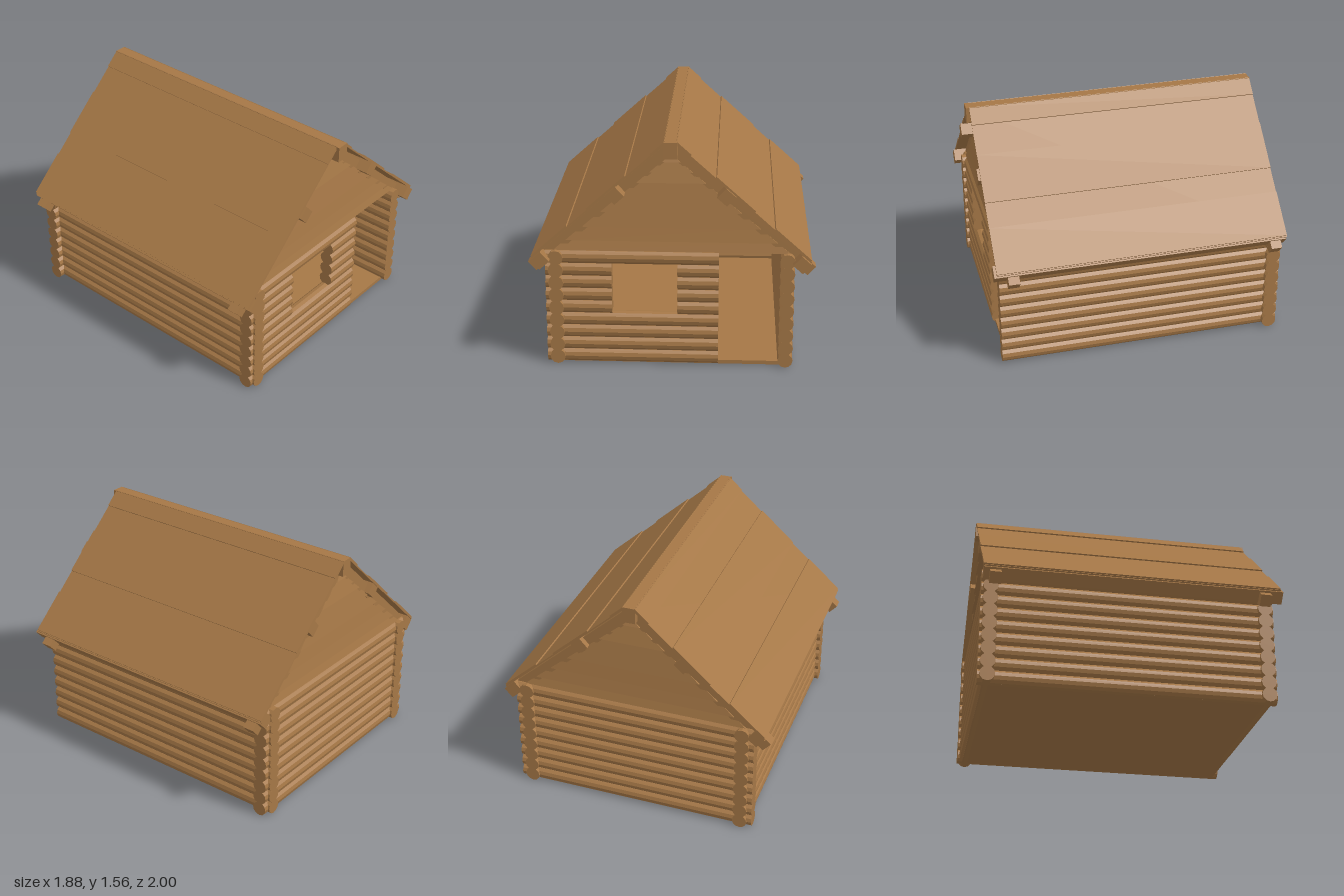
import * as THREE from 'three';

const wood = new THREE.MeshStandardMaterial({ color: 0xa57746 });
wood.name = 'brown wood';

const ZC = -0.025;            // centre of the walls along z
const ROWS = 9, STEP = 0.088, R = 0.05;
const SLOPE = THREE.MathUtils.degToRad(42);

function add(parent, name, geometry, x = 0, y = 0, z = 0) {
  const mesh = new THREE.Mesh(geometry, wood);
  mesh.name = name;
  mesh.position.set(x, y, z);
  parent.add(mesh);
  return mesh;
}

// Faceted round log lying along x or z
function logGeometry(length, axis) {
  const g = new THREE.CylinderGeometry(R, R, length, 12).toNonIndexed();
  if (axis === 'x') g.rotateZ(Math.PI / 2);
  else g.rotateX(Math.PI / 2);
  g.computeVertexNormals();
  return g;
}

function logX(parent, name, x0, x1, y, z) {
  add(parent, name, logGeometry(x1 - x0, 'x'), (x0 + x1) / 2, y, z);
}

// Triangle of lapped boards, each leaning slightly outwards at its foot
function makeGable() {
  const gable = new THREE.Group();
  const levels = [0.8, 0.87, 0.965, 1.07, 1.17, 1.27, 1.34, 1.41, 1.46];
  const halfWidth = (y) => Math.max(0.002, (1.46 - y) / 0.66 * 0.77);
  for (let i = 0; i < levels.length - 1; i++) {
    const [y0, y1] = [levels[i], levels[i + 1]];
    const [a, b] = [halfWidth(y0), halfWidth(y1)];
    const shape = new THREE.Shape([
      new THREE.Vector2(-a, y0), new THREE.Vector2(a, y0),
      new THREE.Vector2(b, y1), new THREE.Vector2(-b, y1),
    ]);
    const g = new THREE.ExtrudeGeometry(shape, { depth: 0.05, bevelEnabled: false });
    const p = g.attributes.position;
    for (let k = 0; k < p.count; k++) {
      if (p.getZ(k) > 0.02 && p.getY(k) < y0 + 0.001) p.setZ(k, 0.068);
    }
    g.computeVertexNormals();
    add(gable, 'gableBoard', g);
  }
  return gable;
}

// One roof side, built for +x
function makeRoofSide() {
  const side = new THREE.Group();
  const c = Math.cos(SLOPE);

  // Box following the roof slope between two x positions
  const sloped = (name, x0, x1, yMid, thick, z0, z1) => {
    const g = new THREE.BoxGeometry((x1 - x0) / c, thick, z1 - z0);
    const m = add(side, name, g, (x0 + x1) / 2, yMid, (z0 + z1) / 2);
    m.rotation.z = -SLOPE;
  };

  // Rafters over both gables
  for (const s of [-1, 1]) {
    const z = ZC + s * 0.895;
    sloped('rafter', 0, 0.9125, (1.5 + 0.68) / 2, 0.08, z - 0.037, z + 0.037);
  }
  // Purlins
  for (const [x, y] of [[0.355, 1.205], [0.848, 0.752]]) {
    sloped('purlin', x - 0.0425 * c, x + 0.0425 * c, y, 0.085, -0.995, 0.995);
  }
  // Continuous under layer, then the raised cover boards
  const roofY = (x) => 1.572 - (x - 0.03) * Math.tan(SLOPE);
  sloped('roofDeck', 0.03, 0.905, roofY(0.4675) - 0.018, 0.009, -0.998, 0.978);
  for (const [x0, x1] of [[0.035, 0.13], [0.29, 0.54], [0.67, 0.905]]) {
    sloped('roofBoard', x0, x1, roofY((x0 + x1) / 2) - 0.006, 0.009, -0.998, 0.978);
  }
  return side;
}

export function createModel() {
  const cabin = new THREE.Group();
  cabin.name = 'logCabin';

  // Floor
  add(cabin, 'floor', new THREE.BoxGeometry(1.54, 0.026, 1.88), 0, 0.017, ZC);

  // Log walls; the front leaves a window and a full-height doorway
  const walls = new THREE.Group();
  walls.name = 'walls';
  const frontZ = ZC + 0.915, backZ = ZC - 0.915;
  for (let i = 0; i < ROWS; i++) {
    const y = R + i * STEP;
    for (const s of [-1, 1]) {
      add(walls, 'sideLog', logGeometry(1.95, 'z'), s * 0.755, y, ZC);
    }
    logX(walls, 'backLog', -0.835, 0.835, y, backZ);
    if (i >= 4 && i <= 7) {
      logX(walls, 'frontLogBesideWindow', -0.825, -0.39, y, frontZ);
      logX(walls, 'frontLogBesideDoor', 0.04, 0.31, y, frontZ);
    } else {
      logX(walls, 'frontLog', -0.825, 0.31, y, frontZ);
    }
  }
  cabin.add(walls);

  // Gables
  const frontGable = makeGable();
  frontGable.name = 'frontGable';
  frontGable.position.z = ZC + 0.875;
  const backGable = makeGable();
  backGable.name = 'backGable';
  backGable.rotation.y = Math.PI;
  backGable.position.z = ZC - 0.875;
  cabin.add(frontGable, backGable);

  // Roof: ridge beam and two sides
  add(cabin, 'ridgeBeam', new THREE.BoxGeometry(0.085, 0.108, 2), 0, 1.509, 0);
  const leftRoof = makeRoofSide();
  leftRoof.name = 'leftRoof';
  const rightRoof = makeRoofSide();
  rightRoof.name = 'rightRoof';
  for (const m of rightRoof.children) {
    m.position.x *= -1;
    m.rotation.z *= -1;
  }
  cabin.add(leftRoof, rightRoof);

  return cabin;
}
